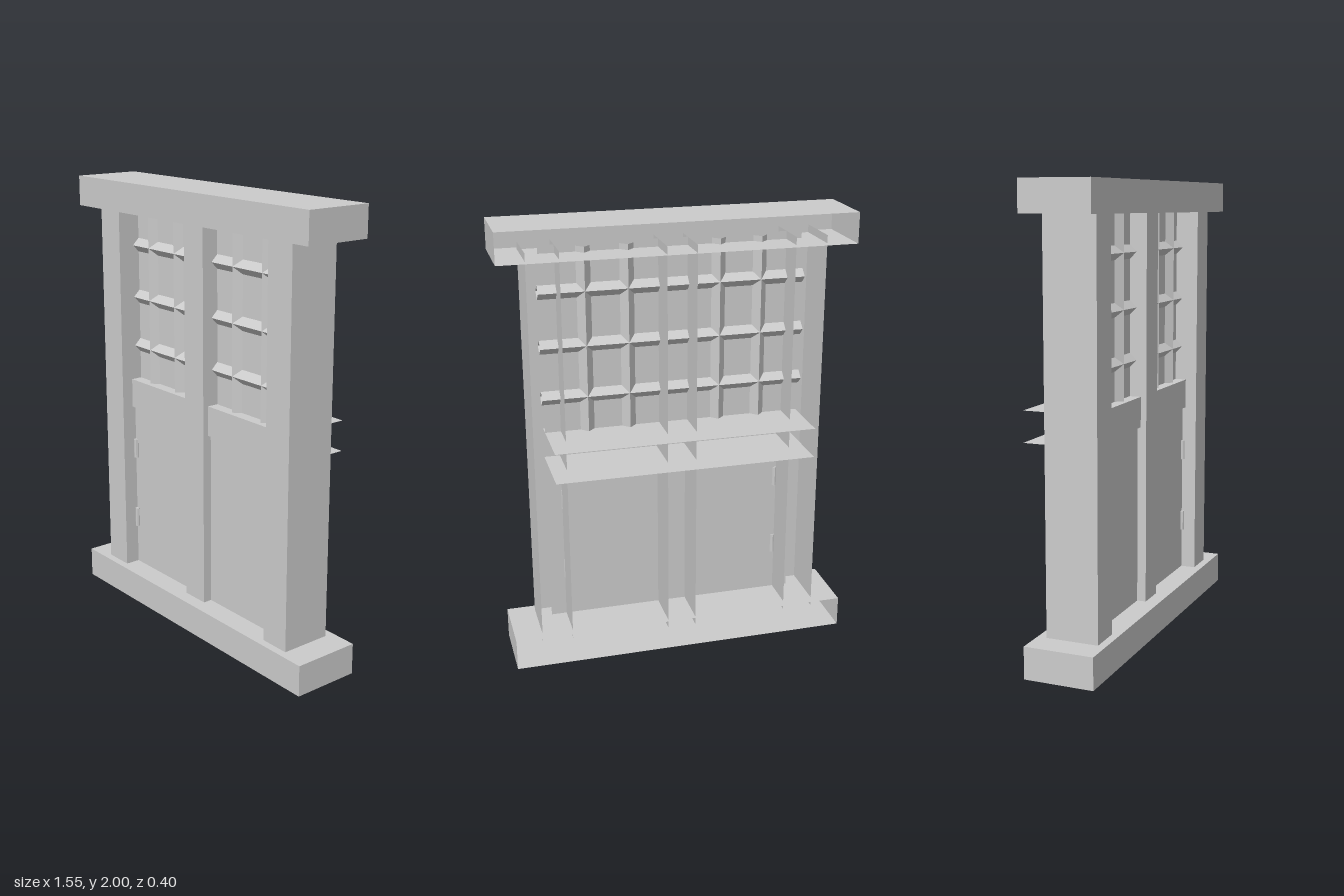
import * as THREE from 'three';

const material = new THREE.MeshStandardMaterial({ color: 0xcccccc, side: THREE.DoubleSide, flatShading: true });

// Box faces in index order: +x, -x, +y, -y, +z, -z
const SIDES = { left: 0, right: 1, top: 2, bottom: 3, front: 4, back: 5 };

// Open box made only of the listed sides
function openBox(name, [x0, x1], [y0, y1], [z0, z1], sides) {
  const geo = new THREE.BoxGeometry(x1 - x0, y1 - y0, z1 - z0);
  geo.translate((x0 + x1) / 2, (y0 + y1) / 2, (z0 + z1) / 2);
  const all = Array.from(geo.index.array);
  geo.setIndex(sides.flatMap((s) => all.slice(SIDES[s] * 6, SIDES[s] * 6 + 6)));
  geo.clearGroups();
  const mesh = new THREE.Mesh(geo, material);
  mesh.name = name;
  return mesh;
}

// Diamond-section bar standing along y
function bar(name, length, radius) {
  const mesh = new THREE.Mesh(new THREE.CylinderGeometry(radius, radius, length, 4, 1, true), material);
  mesh.name = name;
  return mesh;
}

export function createModel() {
  const model = new THREE.Group();
  model.name = 'window';
  const beam = ['left', 'right', 'top', 'bottom', 'front'];
  const upright = ['left', 'right', 'front'];

  // Lintel and sill, open at the back
  model.add(openBox('lintel', [-0.775, 0.775], [1.865, 2], [-0.108, 0.2], beam));
  model.add(openBox('sill', [-0.775, 0.775], [0, 0.14], [-0.108, 0.2], beam));

  // Outer posts and centre post, running a little into the lintel and sill
  model.add(openBox('leftPost', [0.51, 0.65], [0.1, 1.9], [-0.067, 0.165], upright));
  model.add(openBox('rightPost', [-0.65, -0.51], [0.1, 1.9], [-0.067, 0.165], upright));
  model.add(openBox('centrePost', [-0.065, 0.065], [0.1, 1.9], [-0.098, 0.138], upright));

  // Middle rail with deep top and bottom boards
  model.add(openBox('middleRail', [-0.58, 0.58], [0.935, 1.07], [-0.2, 0.112], ['top', 'bottom', 'front']));

  // Flat lower panels and upper panes
  model.add(openBox('lowerPanel', [-0.58, 0.58], [0.1, 0.935], [0, 0.097], ['front']));
  model.add(openBox('upperPane', [-0.58, 0.58], [1.07, 1.9], [0, 0.06], ['front']));

  // Lattice bars
  const lattice = new THREE.Group();
  lattice.name = 'lattice';
  for (const y of [1.23, 1.46, 1.7]) {
    const b = bar('horizontalBar', 1.18, 0.031);
    b.rotation.z = Math.PI / 2;
    b.position.set(0, y, 0.06);
    lattice.add(b);
  }
  for (const x of [-0.39, -0.203, 0.203, 0.39]) {
    const b = bar('verticalBar', 0.82, 0.031);
    b.position.set(x, 1.48, 0.06);
    lattice.add(b);
  }
  model.add(lattice);

  // Hinges on the lower panels
  for (const x of [-0.503, 0.503]) {
    for (const y of [0.375, 0.727]) {
      const h = new THREE.Mesh(new THREE.CylinderGeometry(0.012, 0.012, 0.092, 8), material);
      h.name = 'hinge';
      h.position.set(x, y, 0.1);
      model.add(h);
    }
  }
  return model;
}
